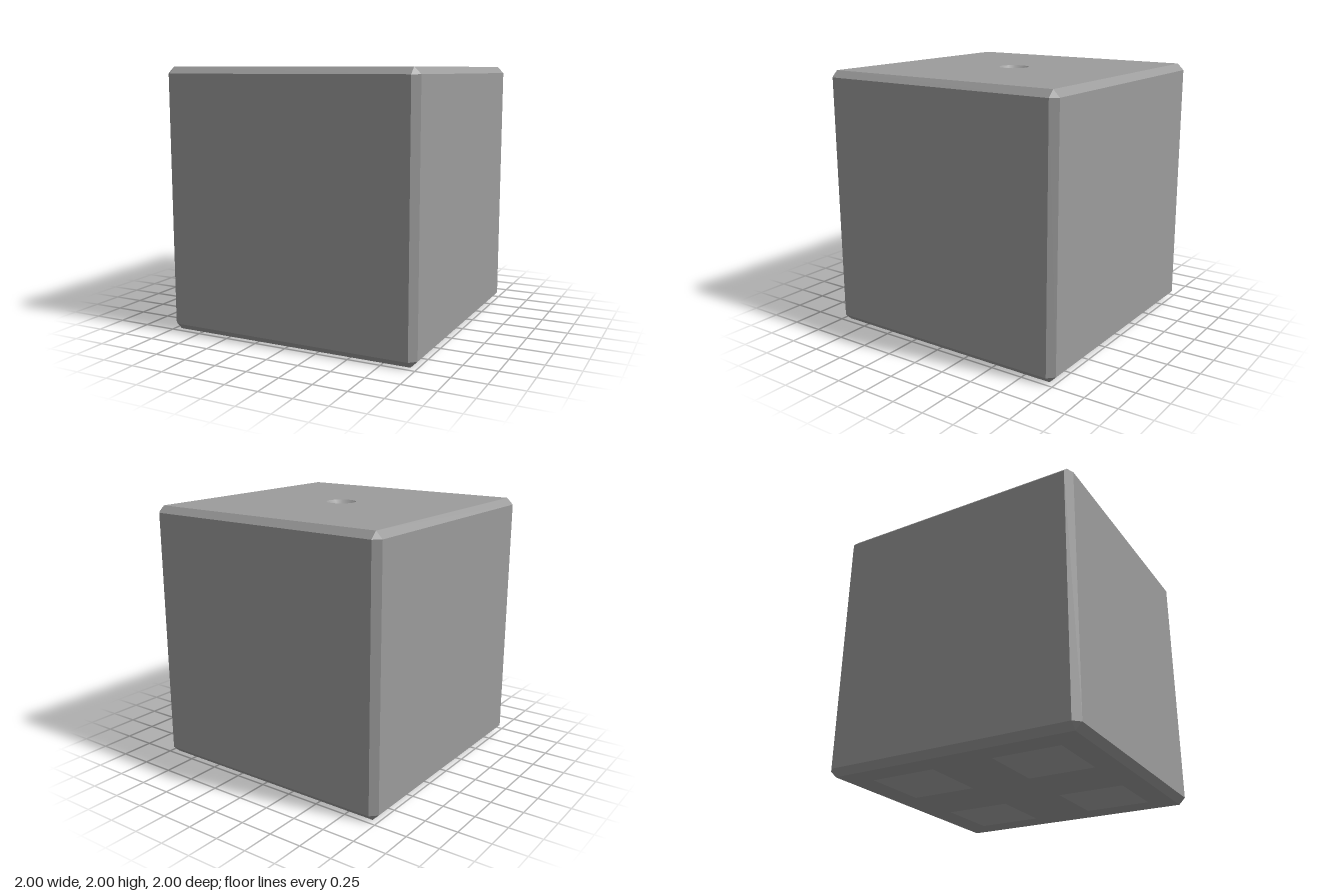
import * as THREE from 'three';
import { mergeVertices } from 'three/addons/utils/BufferGeometryUtils.js';

const SIZE = 2, HALF = 1, BEVEL = 0.05, FLAT = HALF - BEVEL;
const DIMPLE = { radius: 0.117, depth: 0.12, sides: 12 };
const RECESS = { offset: 0.5, mouth: 0.26, ceiling: 0.08, depth: 0.18 };

const GREY = 0x9c9c9c;
const flatMaterial = new THREE.MeshStandardMaterial({ color: GREY, flatShading: true });
const smoothMaterial = new THREE.MeshStandardMaterial({ color: GREY });

function addMesh(group, name, geometry, material = flatMaterial) {
  const mesh = new THREE.Mesh(geometry, material);
  mesh.name = name;
  group.add(mesh);
  return mesh;
}

// Regular polygon outline; a turn of PI / 4 with 4 sides gives an upright square
function polygon(PathType, radius, sides, turn = 0, x = 0, y = 0) {
  const points = [];
  for (let i = 0; i < sides; i++) {
    const a = turn + (i / sides) * Math.PI * 2;
    points.push(new THREE.Vector2(x + radius * Math.cos(a), y + radius * Math.sin(a)));
  }
  return new PathType(points);
}

// Square end face with holes cut through it
function endFace(holes) {
  const shape = polygon(THREE.Shape, FLAT * Math.SQRT2, 4, Math.PI / 4);
  shape.holes.push(...holes);
  return new THREE.ShapeGeometry(shape);
}

// Eight-point ring: two points per corner, which coincide when outer equals FLAT
function ring(outer, y) {
  const points = [];
  for (let k = 0; k < 4; k++) {
    const c = Math.round(Math.cos(k * Math.PI / 2)), s = Math.round(Math.sin(k * Math.PI / 2));
    for (const [x, z] of [[outer, FLAT], [FLAT, outer]]) {
      points.push([x * c - z * s, y, x * s + z * c]);
    }
  }
  return points;
}

// Side walls, edge bevels and corner triangles, lofted through four rings
function shellGeometry() {
  const rings = [ring(FLAT, 0), ring(HALF, BEVEL), ring(HALF, SIZE - BEVEL), ring(FLAT, SIZE)];
  const positions = [];
  for (let r = 0; r < 3; r++) {
    for (let i = 0; i < 8; i++) {
      const j = (i + 1) % 8;
      const a = rings[r][i], b = rings[r][j], c = rings[r + 1][j], d = rings[r + 1][i];
      // At a corner only one triangle of the bevel has any area
      if (r !== 0 || i % 2) positions.push(...a, ...c, ...b);
      if (r !== 2 || i % 2) positions.push(...a, ...d, ...c);
    }
  }
  const geometry = new THREE.BufferGeometry();
  geometry.setAttribute('position', new THREE.Float32BufferAttribute(positions, 3));
  geometry.computeVertexNormals();
  return geometry;
}

// Cone sunk into the top, welded so the shading runs smoothly through its tip
function dimpleGeometry() {
  const cone = new THREE.LatheGeometry([
    new THREE.Vector2(DIMPLE.radius, SIZE),
    new THREE.Vector2(0, SIZE - DIMPLE.depth),
  ], DIMPLE.sides);
  cone.deleteAttribute('uv');
  cone.deleteAttribute('normal');
  const welded = mergeVertices(cone);
  welded.computeVertexNormals();
  return welded;
}

export function createModel() {
  const group = new THREE.Group();
  group.name = 'bevelledCube';

  addMesh(group, 'bevelledSides', shellGeometry());

  // Top face with its conical dimple
  const dimpleHole = polygon(THREE.Path, DIMPLE.radius, DIMPLE.sides);
  const top = addMesh(group, 'topFace', endFace([dimpleHole]).rotateX(-Math.PI / 2));
  top.position.y = SIZE;
  addMesh(group, 'topDimple', dimpleGeometry(), smoothMaterial);

  // Four tapered square recesses in the underside
  const recess = new THREE.LatheGeometry([
    new THREE.Vector2(0, RECESS.depth),
    new THREE.Vector2(RECESS.ceiling * Math.SQRT2, RECESS.depth),
    new THREE.Vector2(RECESS.mouth * Math.SQRT2, 0),
  ], 4, Math.PI / 4).toNonIndexed();
  recess.computeVertexNormals();

  const holes = [];
  for (const x of [-RECESS.offset, RECESS.offset]) {
    for (const z of [-RECESS.offset, RECESS.offset]) {
      holes.push(polygon(THREE.Path, RECESS.mouth * Math.SQRT2, 4, Math.PI / 4, x, z));
      addMesh(group, 'bottomRecess', recess).position.set(x, 0, z);
    }
  }
  addMesh(group, 'bottomFace', endFace(holes).rotateX(Math.PI / 2));

  return group;
}
